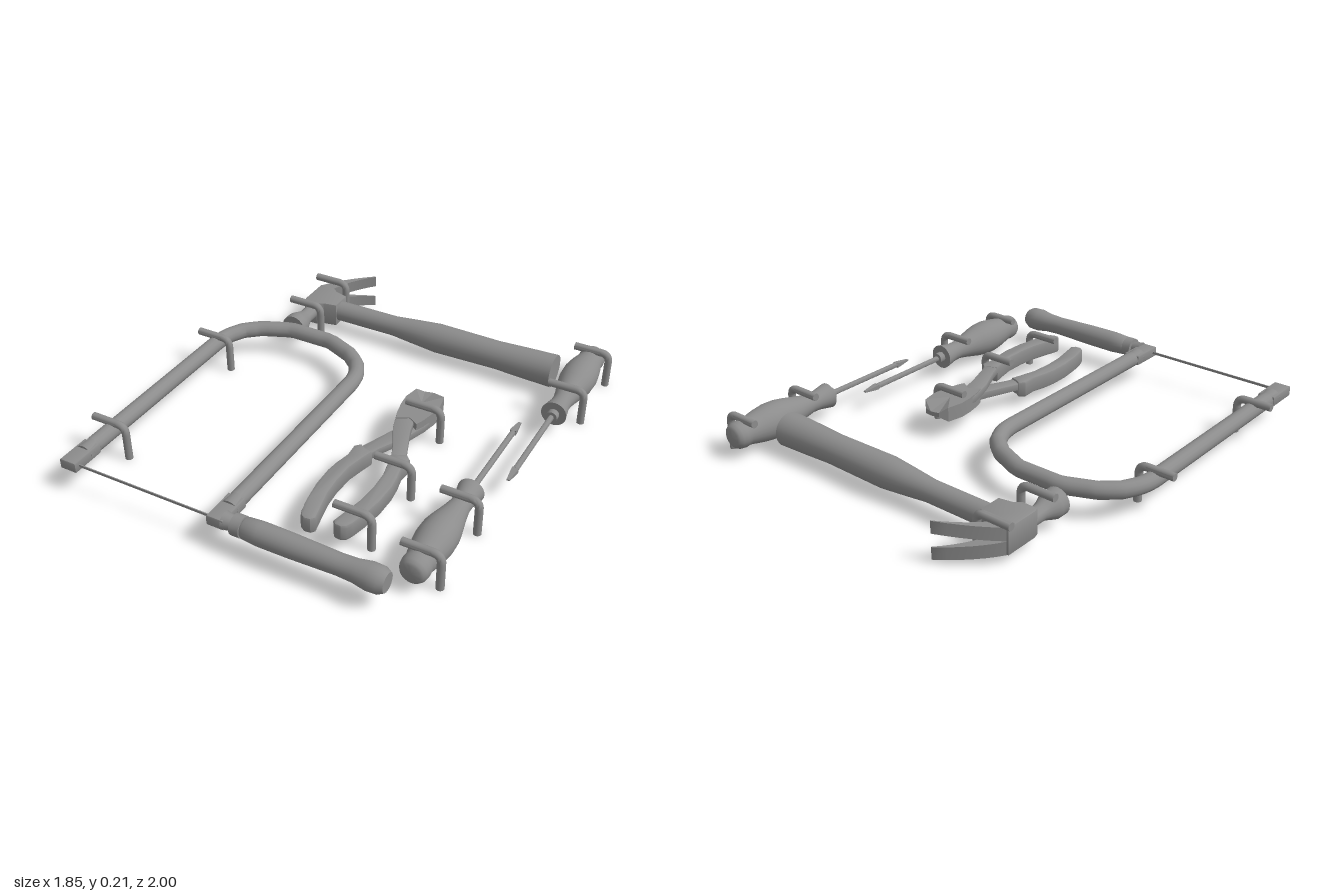
import * as THREE from 'three';
import { toCreasedNormals } from 'three/addons/utils/BufferGeometryUtils.js';

const mat = new THREE.MeshStandardMaterial({ color: 0x8c8c8c });

function mesh(geo, name, crease = 0.6) {
  const m = new THREE.Mesh(toCreasedNormals(geo, crease), mat);
  m.name = name;
  return m;
}

// Turned part: profile of [position along axis, radius], closed at both ends
function turned(name, axis, profile, sides = 20) {
  const pts = profile.map(([a, r]) => new THREE.Vector2(r, a));
  pts.unshift(new THREE.Vector2(0, profile[0][0]));
  pts.push(new THREE.Vector2(0, profile[profile.length - 1][0]));
  const geo = new THREE.LatheGeometry(pts, sides);
  if (axis === 'x') geo.rotateZ(-Math.PI / 2);
  else geo.rotateX(Math.PI / 2);
  return mesh(geo, name, 0.8);
}

// Flat part: outline in [x, z], extruded between two heights with a small bevel
function plate(name, outline, y0, y1, bevel = 0.01) {
  const shape = new THREE.Shape(outline.map(([x, z]) => new THREE.Vector2(x, z)));
  const geo = new THREE.ExtrudeGeometry(shape, {
    depth: y1 - y0 - 2 * bevel, bevelEnabled: bevel > 0, bevelSize: bevel,
    bevelThickness: bevel, bevelOffset: -bevel, bevelSegments: 2,
  });
  geo.rotateX(Math.PI / 2).translate(0, y1 - bevel, 0);
  return mesh(geo, name);
}

function group(name, ...parts) {
  const g = new THREE.Group();
  g.name = name;
  if (parts.length) g.add(...parts);
  return g;
}

// Wall hook: bar along x, rounded corner, leg down to the base
function hook(xLeg, z, top) {
  const r = 0.018, y = top - r, bend = 0.04, xEnd = xLeg - 0.17;
  const V = (a, b) => new THREE.Vector3(a, b, z);
  const path = new THREE.CurvePath();
  path.add(new THREE.LineCurve3(V(xEnd, y), V(xLeg - bend, y)));
  path.add(new THREE.QuadraticBezierCurve3(V(xLeg - bend, y), V(xLeg, y), V(xLeg, y - bend)));
  path.add(new THREE.LineCurve3(V(xLeg, y - bend), V(xLeg, 0)));
  const barCap = new THREE.CircleGeometry(r, 12).rotateY(-Math.PI / 2).translate(xEnd, y, z);
  const legCap = new THREE.CircleGeometry(r, 12).rotateX(Math.PI / 2).translate(xLeg, 0, z);
  return group('hook',
    mesh(new THREE.TubeGeometry(path, 36, r, 12), 'hookRod'),
    mesh(barCap, 'hookBarEnd'), mesh(legCap, 'hookLegEnd'));
}

// Screwdriver along z, tip at +z
function screwdriver() {
  const handle = turned('screwdriverHandle', 'z', [
    [-0.547, 0.04], [-0.54, 0.052], [-0.525, 0.06], [-0.5, 0.063], [-0.475, 0.06],
    [-0.4, 0.076], [-0.34, 0.084], [-0.28, 0.082], [-0.24, 0.075], [-0.15, 0.054],
    [-0.1, 0.045], [-0.06, 0.046], [0.012, 0.06]], 24);
  const ferrule = turned('ferrule', 'z', [[0.0, 0.027], [0.044, 0.027]], 16);
  const shaft = turned('shaft', 'z', [[0.03, 0.013], [0.47, 0.013]], 12);
  // blade narrowing to a thin edge
  const tip = new THREE.BoxGeometry(1, 1, 1, 1, 1, 4);
  const p = tip.attributes.position;
  for (let i = 0; i < p.count; i++) {
    const t = p.getZ(i) + 0.5;
    p.setXYZ(i, p.getX(i) * (t < 0.3 ? 0.028 : 0.032 - 0.018 * t),
      p.getY(i) * (0.024 - 0.018 * t), 0.465 + 0.083 * t);
  }
  return group('screwdriver', handle, ferrule, shaft, mesh(tip, 'screwdriverTip'));
}

function hammer() {
  const y = 0.1;
  const handle = turned('hammerHandle', 'x', [[-0.49, 0.05], [-0.16, 0.05], [-0.06, 0.06],
    [0.08, 0.073], [0.4, 0.069], [0.54, 0.075], [0.695, 0.08]], 24);
  handle.position.set(0, y, -0.735);
  const face = turned('hammerFace', 'z', [[-0.68, 0.037], [-0.59, 0.037], [-0.56, 0.046],
    [-0.53, 0.058], [-0.515, 0.062], [-0.475, 0.062]], 20);
  face.position.set(-0.601, y, 0);
  const head = plate('hammerHead', [[-0.643, -0.83], [-0.565, -0.83], [-0.535, -0.805],
    [-0.47, -0.787], [-0.47, -0.68], [-0.535, -0.668], [-0.565, -0.645],
    [-0.635, -0.645], [-0.643, -0.67]], 0.04, 0.16, 0.004);
  const g = group('hammer', handle, face, head);
  // two curved claw prongs spreading apart toward the tips
  const curve = new THREE.QuadraticBezierCurve(new THREE.Vector2(-0.6, -0.825),
    new THREE.Vector2(-0.54, -0.915), new THREE.Vector2(-0.412, -1));
  for (const s of [-1, 1]) {
    const geo = new THREE.BoxGeometry(1, 1, 1, 1, 1, 6);
    const p = geo.attributes.position;
    for (let i = 0; i < p.count; i++) {
      const t = 0.5 - p.getZ(i), c = curve.getPoint(t);
      p.setXYZ(i, c.x + p.getX(i) * (0.075 - 0.067 * t),
        y + s * (0.03 + 0.028 * t) + p.getY(i) * (0.06 - 0.004 * t), c.y);
    }
    g.add(mesh(geo, 'hammerClaw'));
  }
  return g;
}

function saw() {
  const y = 0.13, cx = -0.4575;
  const half = [[0.372, 0.81], [0.372, 0.4], [0.372, 0], [0.372, -0.15], [0.36, -0.215],
    [0.32, -0.29], [0.25, -0.35], [0.11, -0.41]];
  const pts = [...half.map(([x, z]) => [cx - x, z]), ...half.map(([x, z]) => [cx + x, z]).reverse()]
    .map(([x, z]) => new THREE.Vector3(x, y, z));
  const path = new THREE.CurvePath();
  for (let i = 1; i < pts.length; i++) path.add(new THREE.LineCurve3(pts[i - 1], pts[i]));
  const frame = mesh(new THREE.TubeGeometry(path, 90, 0.038, 14), 'sawFrame');
  const blade = mesh(new THREE.BoxGeometry(0.7, 0.012, 0.005), 'sawBlade');
  blade.position.set(cx, y, 0.945);
  const g = group('saw', frame, blade);
  // flattened sockets and chamfered clamps at the frame ends
  for (const s of [-1, 1]) {
    const x = cx + s * 0.372;
    const socket = turned('frameSocket', 'z', [[0.8, 0.038], [0.87, 0.043]], 14);
    socket.scale.y = 0.85;
    socket.position.set(x, y, 0);
    g.add(socket, plate('bladeClamp', [[x - 0.04, 0.81], [x + 0.04, 0.81],
      [x + 0.04, 0.972], [x - 0.04, 0.972]], y - 0.025, y + 0.025, 0.006));
  }
  const handle = turned('sawHandle', 'x', [[0.03, 0.04], [0.04, 0.047], [0.11, 0.052],
    [0.25, 0.051], [0.46, 0.045], [0.53, 0.048], [0.59, 0.058], [0.64, 0.056], [0.665, 0.042]], 24);
  const ferrule = turned('sawFerrule', 'x', [[-0.06, 0.04], [-0.03, 0.034], [-0.015, 0.03],
    [-0.014, 0.047], [0.03, 0.047], [0.031, 0.035], [0.04, 0.035]], 16);
  for (const part of [handle, ferrule]) part.position.set(0, y, 0.937);
  g.add(handle, ferrule);
  return g;
}

function pliers() {
  const cx = 0.287, g = group('pliers');
  const grip = [[0.045, 0.265], [0.08, 0.255], [0.11, 0.237], [0.135, 0.262], [0.13, 0.33],
    [0.145, 0.4], [0.152, 0.46], [0.15, 0.56], [0.135, 0.66], [0.118, 0.73], [0.105, 0.76],
    [0.085, 0.773], [0.055, 0.77], [0.04, 0.75], [0.058, 0.67], [0.075, 0.59], [0.082, 0.5],
    [0.078, 0.4], [0.06, 0.32]];
  const arm = [[-0.082, -0.11], [0.0, -0.11], [0.02, -0.02], [0.045, 0.08], [0.11, 0.25],
    [0.1, 0.31], [0.065, 0.31], [0.03, 0.22], [-0.035, 0.09], [-0.07, -0.02]];
  const jaw = [[0, -0.125], [0.07, -0.215], [0.085, -0.14], [0.08, -0.08], [0.065, -0.01],
    [0.05, 0.03], [0, 0]];
  const nose = [[0, -0.255], [0.04, -0.245], [0.07, -0.215], [0, -0.125]];
  for (const s of [-1, 1]) {
    const place = (o) => o.map(([x, z]) => [cx + s * x, z]);
    const y0 = s > 0 ? 0.075 : 0.05;
    g.add(plate('pliersGrip', place(grip), y0, y0 + 0.08, 0.012));
    g.add(plate('pliersArm', place(arm), s > 0 ? 0.115 : 0.085, s > 0 ? 0.15 : 0.12, 0.004));
    g.add(plate('pliersJaw', place(jaw), 0.085, 0.155, 0));
    // cutting nose slopes down to a thin edge at the seam
    const cutter = plate('pliersCutter', place(nose), 0.085, 0.155, 0);
    const p = cutter.geometry.attributes.position;
    for (let i = 0; i < p.count; i++) {
      if (p.getZ(i) < -0.235) p.setY(i, 0.12 + (p.getY(i) - 0.12) * 0.3);
    }
    cutter.geometry = toCreasedNormals(cutter.geometry, 0.2);
    g.add(cutter);
  }
  return g;
}

export function createModel() {
  const rightDriver = screwdriver();
  rightDriver.position.set(0.817, 0.105, -0.411);
  const leftDriver = screwdriver();
  leftDriver.rotation.y = Math.PI;
  leftDriver.position.set(0.709, 0.105, 0.285);

  const hooks = group('hooks');
  const places = [[-0.505, -0.85, 0.208], [-0.505, -0.585, 0.208], [-0.755, -0.13, 0.188],
    [-0.755, 0.677, 0.188], [0.906, -0.89, 0.188], [0.906, -0.538, 0.188], [0.796, 0.392, 0.188],
    [0.796, 0.747, 0.188], [0.4, -0.09, 0.188], [0.462, 0.327, 0.188], [0.462, 0.68, 0.188]];
  for (const p of places) hooks.add(hook(...p));

  return group('toolSet', saw(), hammer(), pliers(), leftDriver, rightDriver, hooks);
}
